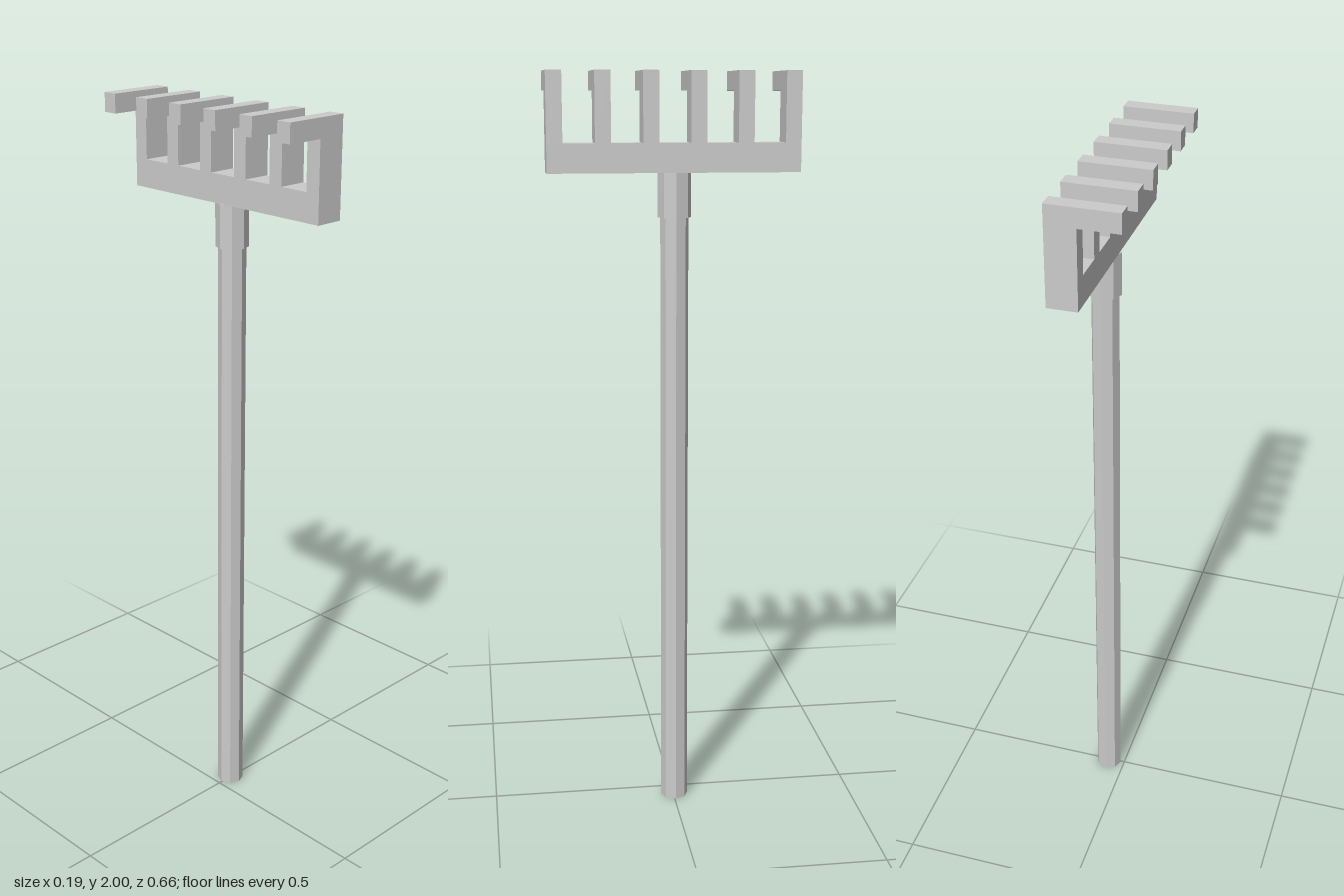
import * as THREE from 'three';

const material = new THREE.MeshStandardMaterial({ color: 0xcccccc, flatShading: true });

function addPart(group, name, geometry, x, y, z) {
  const mesh = new THREE.Mesh(geometry, material);
  mesh.name = name;
  mesh.position.set(x, y, z);
  group.add(mesh);
}

export function createModel() {
  const rake = new THREE.Group();
  rake.name = 'rake';

  const back = 0.088, front = 0.01, tip = -0.094;
  const barBottom = 1.745, barTop = 1.82, top = 2;
  const shaftX = 0.048, shaftZ = -0.003;

  // Octagonal shaft and the wider collar that meets the head
  const collarBottom = 1.63;
  addPart(rake, 'handle', new THREE.CylinderGeometry(0.037, 0.037, barBottom, 8),
    shaftX, barBottom / 2, shaftZ);
  addPart(rake, 'collar', new THREE.CylinderGeometry(0.0435, 0.0435, barBottom - collarBottom, 8),
    shaftX, (barBottom + collarBottom) / 2, shaftZ);

  // Crossbar carrying the tines
  addPart(rake, 'crossbar', new THREE.BoxGeometry(back - front, barTop - barBottom, 0.656),
    (back + front) / 2, (barTop + barBottom) / 2, 0);

  // Six hooked tines: an upright with a finger pointing to -x
  const profile = new THREE.Shape([
    [front, barTop], [back, barTop], [back, top],
    [tip, top], [tip, 1.95], [front, 1.95],
  ].map(([x, y]) => new THREE.Vector2(x, y)));
  const width = 0.041;
  const tine = new THREE.ExtrudeGeometry(profile, { depth: width, bevelEnabled: false });
  tine.translate(0, 0, -width / 2);
  for (let i = 0; i < 6; i++) {
    addPart(rake, `tine${i + 1}`, tine, 0, 0, (i - 2.5) * 0.123);
  }

  return rake;
}
